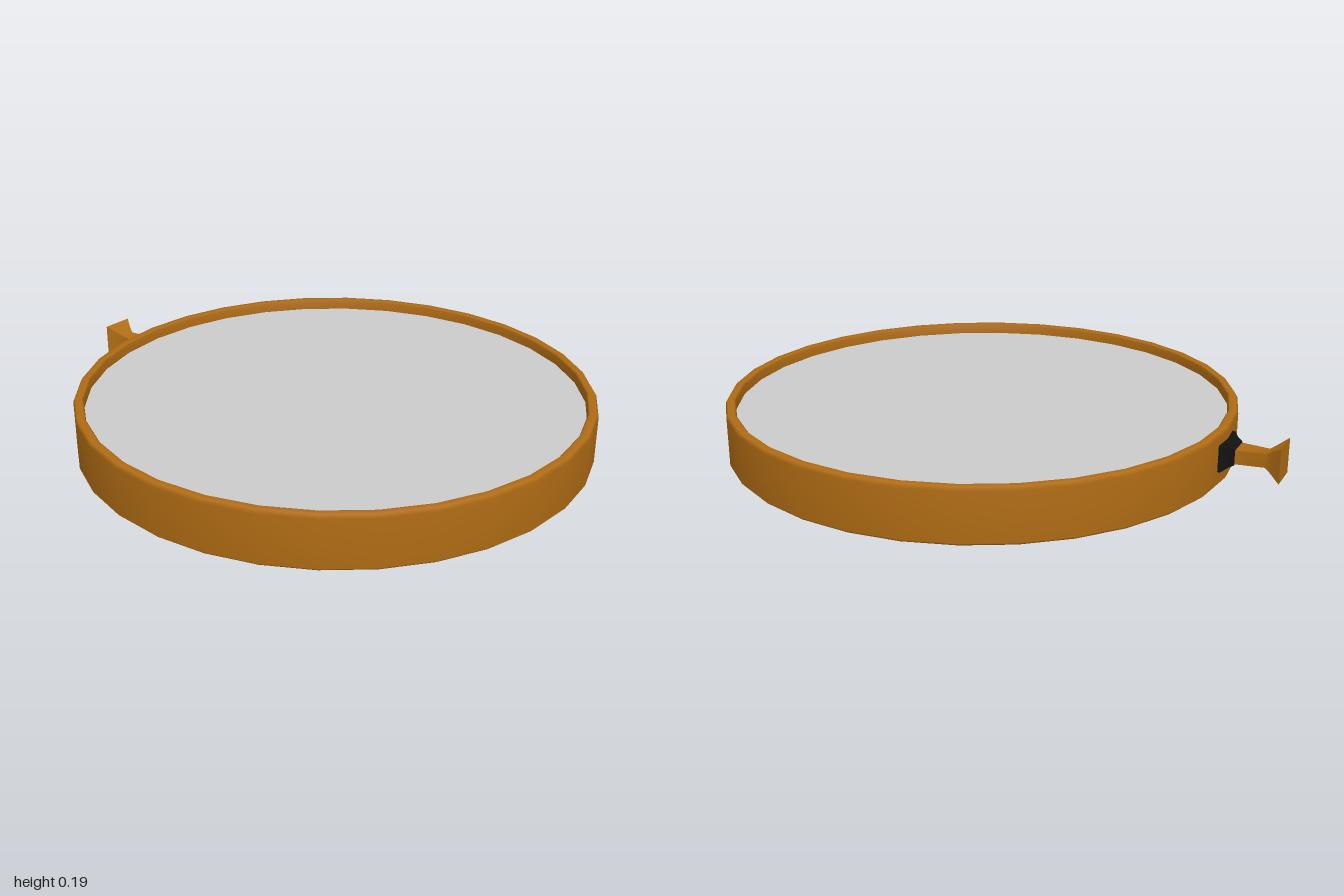
import * as THREE from 'three';
import { toCreasedNormals } from 'three/addons/utils/BufferGeometryUtils.js';

const SIDES = 32;
const DISC_Z = 0.095;
const LATCH_Y = 0.104;

function addMesh(group, name, geometry, color) {
  const mesh = new THREE.Mesh(geometry, new THREE.MeshStandardMaterial({ color }));
  mesh.name = name;
  group.add(mesh);
  return mesh;
}

// Solid through rectangular sections [z, halfWidth, halfHeight], running towards -z
function rectLoft(sections) {
  const positions = [], index = [];
  for (const [z, w, h] of sections) {
    positions.push(-w, -h, z, w, -h, z, w, h, z, -w, h, z);
  }
  for (let s = 0; s < sections.length - 1; s++) {
    for (let i = 0; i < 4; i++) {
      const a = s * 4 + i, b = s * 4 + (i + 1) % 4;
      index.push(a, b + 4, b, a, a + 4, b + 4);
    }
  }
  const e = (sections.length - 1) * 4;
  index.push(0, 1, 2, 0, 2, 3, e, e + 2, e + 1, e, e + 3, e + 2);
  const geometry = new THREE.BufferGeometry();
  geometry.setAttribute('position', new THREE.Float32BufferAttribute(positions, 3));
  geometry.setIndex(index);
  return toCreasedNormals(geometry, 1.0);
}

export function createModel() {
  const model = new THREE.Group();
  const brown = 0xb06c14;

  // Shallow round case: closed bottom, softened edges and a raised rim
  const profile = [
    [0, 0], [0.82, 0], [0.895, 0.002], [0.905, 0.012], [0.905, 0.178],
    [0.898, 0.19], [0.876, 0.19], [0.87, 0.184], [0.87, 0.148],
  ].map(([r, y]) => new THREE.Vector2(r, y));
  addMesh(model, 'case', new THREE.LatheGeometry(profile, SIDES), brown).position.z = DISC_Z;

  // Flat pane set below the rim
  const pane = new THREE.CircleGeometry(0.872, SIDES).rotateX(-Math.PI / 2);
  addMesh(model, 'pane', pane, 0xcccccc).position.set(0, 0.152, DISC_Z);

  // Flared dark mount on the back of the case
  const mount = rectLoft([
    [-0.78, 0.078, 0.046], [-0.812, 0.078, 0.046], [-0.828, 0.058, 0.036], [-0.847, 0.044, 0.027],
  ]);
  addMesh(model, 'latchMount', mount, 0x111111).position.y = LATCH_Y;

  // Tapered stem ending in a flared square head
  const knob = rectLoft([
    [-0.83, 0.043, 0.024], [-0.945, 0.027, 0.024], [-0.965, 0.036, 0.037], [-1, 0.058, 0.061],
  ]);
  addMesh(model, 'latchKnob', knob, brown).position.y = LATCH_Y;

  return model;
}
